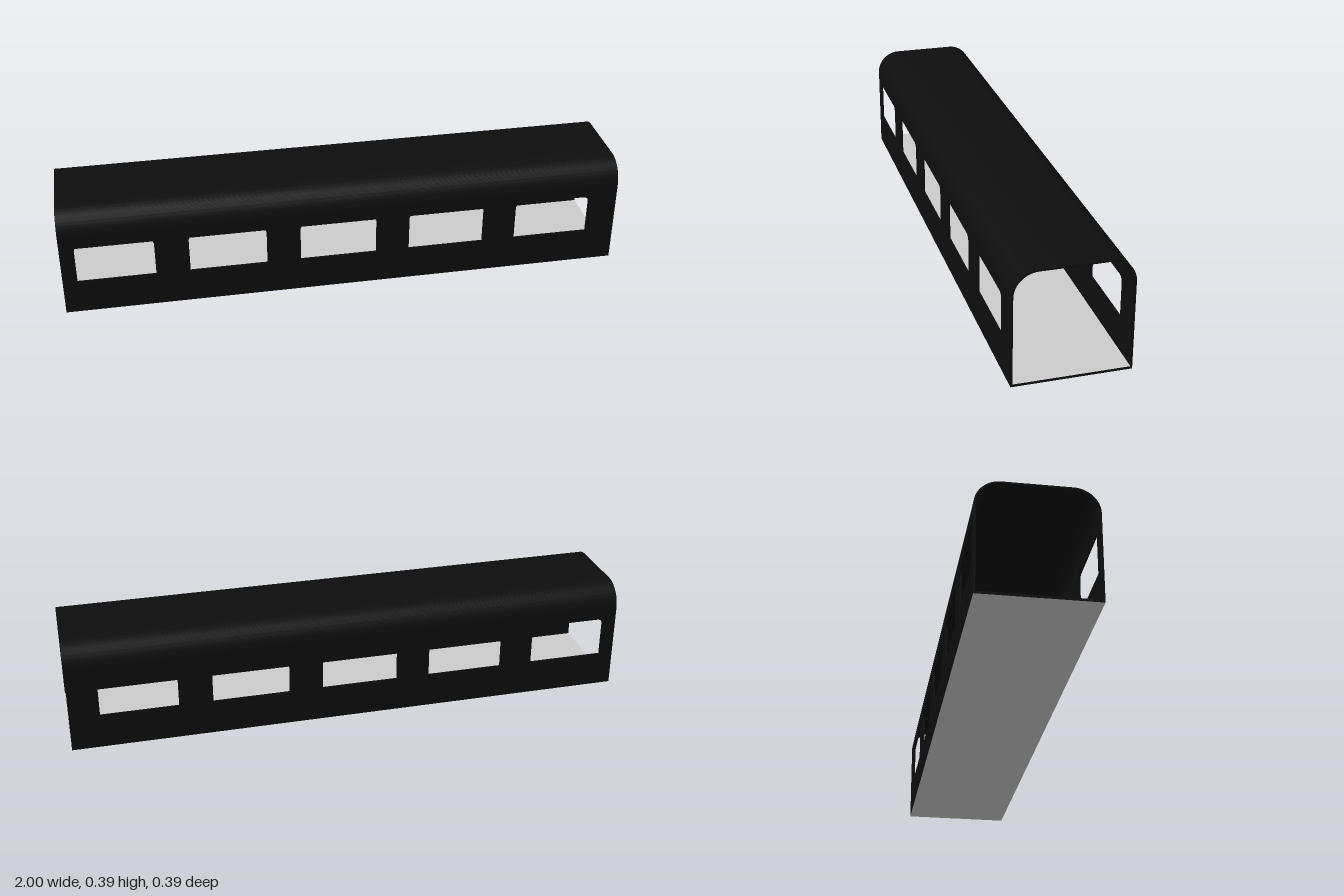
import * as THREE from 'three';
import { toCreasedNormals } from 'three/addons/utils/BufferGeometryUtils.js';

const L = 2, HALF = 0.197, TOP = 0.394, R = 0.085, T = 0.006, FLOOR = 0.009;
const SPRING = TOP - R; // height where the walls meet the rounded roof

export function createModel() {
  const group = new THREE.Group();
  const black = new THREE.MeshStandardMaterial({ color: 0x0d0d0d });
  const grey = new THREE.MeshStandardMaterial({ color: 0xcccccc });

  const add = (name, geometry, material) => {
    const mesh = new THREE.Mesh(geometry, material);
    mesh.name = name;
    group.add(mesh);
    return mesh;
  };

  // Floor slab: grey top and underside, black rim
  const floor = add('floor', new THREE.BoxGeometry(L, FLOOR, 2 * HALF),
    [black, black, grey, grey, black, black]);
  floor.position.y = FLOOR / 2;

  // Window opening: square at the sill, rounded at the top
  const windowPath = (x, y, w, h, r) => {
    const p = new THREE.Path();
    p.moveTo(x, y);
    p.lineTo(x, y + h - r);
    p.absarc(x + r, y + h - r, r, Math.PI, Math.PI / 2, true);
    p.lineTo(x + w - r, y + h);
    p.absarc(x + w - r, y + h - r, r, Math.PI / 2, 0, true);
    p.lineTo(x + w, y);
    p.closePath();
    return p;
  };

  // Side walls with five aligned windows
  const wall = new THREE.Shape([
    new THREE.Vector2(-L / 2, FLOOR), new THREE.Vector2(L / 2, FLOOR),
    new THREE.Vector2(L / 2, SPRING), new THREE.Vector2(-L / 2, SPRING),
  ]);
  for (let i = 0; i < 5; i++) {
    wall.holes.push(windowPath(-0.949 + i * 0.3925, 0.125, 0.273, 0.144, 0.02));
  }
  const wallGeometry = new THREE.ExtrudeGeometry(wall, { depth: T, bevelEnabled: false, curveSegments: 8 });
  add('frontWall', wallGeometry, black).position.z = HALF - T;
  add('backWall', wallGeometry, black).position.z = -HALF;

  // Roof: flat crown with rounded shoulders, a thin section run along the length
  const c = HALF - R;
  const section = new THREE.Shape();
  section.moveTo(HALF, SPRING);
  section.absarc(c, SPRING, R, 0, Math.PI / 2, false);
  section.absarc(-c, SPRING, R, Math.PI / 2, Math.PI, false);
  section.lineTo(-HALF + T, SPRING);
  section.absarc(-c, SPRING, R - T, Math.PI, Math.PI / 2, true);
  section.absarc(c, SPRING, R - T, Math.PI / 2, 0, true);
  section.closePath();
  const roof = new THREE.ExtrudeGeometry(section, { depth: L, bevelEnabled: false, curveSegments: 16 });
  roof.translate(0, 0, -L / 2).rotateY(Math.PI / 2);
  add('roof', toCreasedNormals(roof, 0.5), black);

  return group;
}
